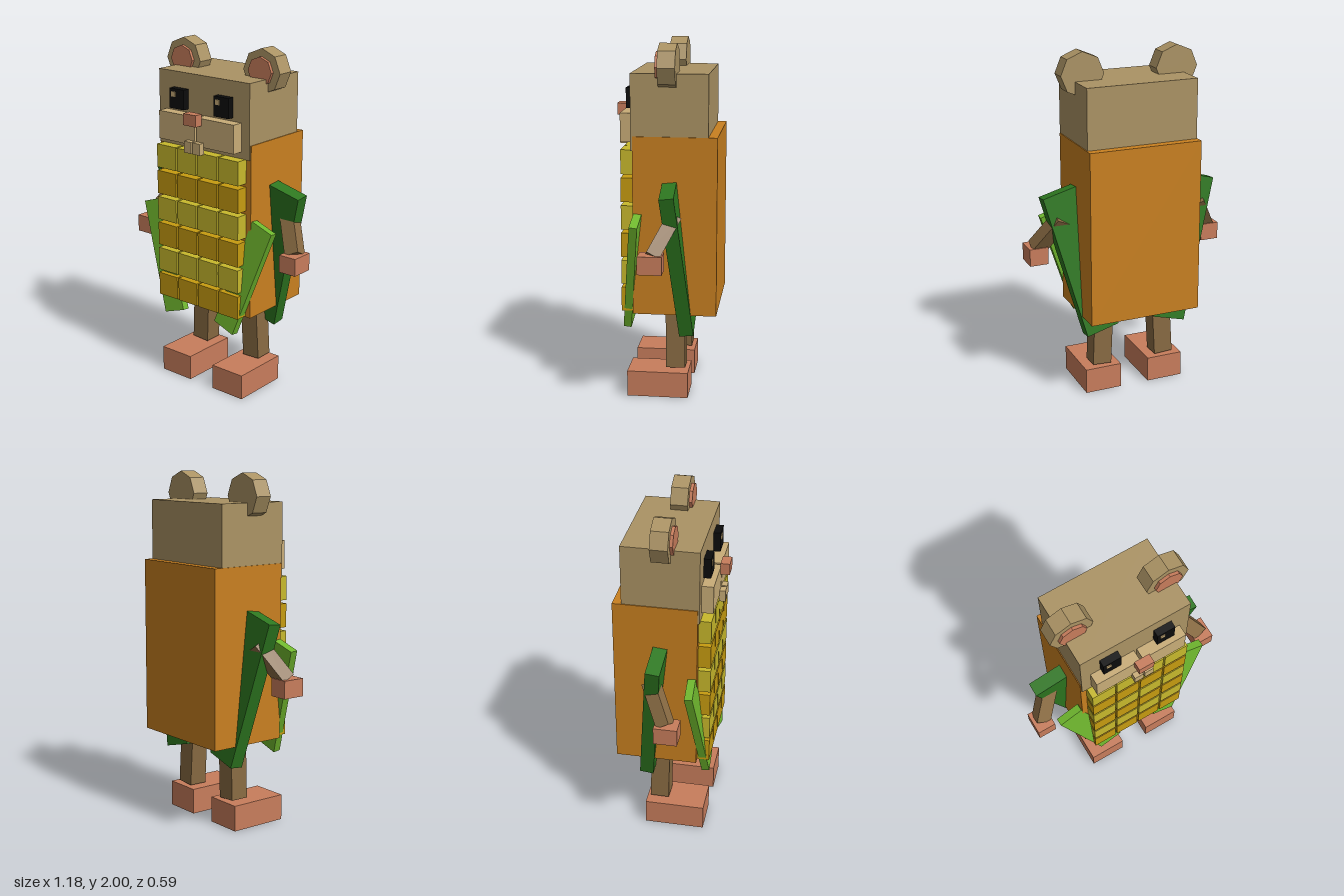
import * as THREE from 'three';

const mat = (name, color) => {
  const m = new THREE.MeshStandardMaterial({ color });
  m.name = name;
  return m;
};

export function createModel() {
  const fur = mat('fur', 0xab9364);
  const cream = mat('cream', 0xc9ad78);
  const cob = mat('cob', 0xc98020);
  const yellow = mat('yellow', 0xc8b92c);
  const gold = mat('gold', 0xc79c10);
  const pink = mat('pink', 0xc87d5c);
  const darkGreen = mat('darkGreen', 0x2e7820);
  const lightGreen = mat('lightGreen', 0x70b82e);
  const brown = mat('brown', 0x886a42);
  const black = mat('black', 0x0c0c0c);

  const model = new THREE.Group();
  model.name = 'cornHamster';

  const add = (name, geometry, material, x, y, z) => {
    const mesh = new THREE.Mesh(geometry, material);
    mesh.name = name;
    mesh.position.set(x, y, z);
    model.add(mesh);
    return mesh;
  };
  // box given by its centre, size and optional tilts
  const box = (name, material, [x, y, z], [w, h, d], tiltX = 0, tiltZ = 0) => {
    const mesh = add(name, new THREE.BoxGeometry(w, h, d), material, x, y, z);
    mesh.rotation.set(tiltX, 0, tiltZ);
    return mesh;
  };
  // octagonal disc facing the front, with a corner pointing up
  const disc = (name, material, x, y, z, radius, depth) => {
    const geometry = new THREE.CylinderGeometry(radius, radius, depth, 8).toNonIndexed();
    geometry.rotateX(Math.PI / 2);
    geometry.computeVertexNormals();
    return add(name, geometry, material, x, y, z);
  };

  // cob body and head
  box('body', cob, [0, 1, -0.0625], [0.66, 1, 0.465]);
  box('head', fur, [0, 1.63, -0.0325], [0.65, 0.42, 0.425]);
  box('nose', pink, [0, 1.613, 0.27], [0.09, 0.065, 0.052]);

  // kernels in alternating rows
  for (let row = 0; row < 6; row++) {
    for (let col = 0; col < 4; col++) {
      box('kernel', row % 2 ? yellow : gold,
        [(col - 1.5) * 0.151, 0.574 + row * 0.156, 0.203], [0.14, 0.136, 0.074]);
    }
  }

  for (const s of [1, -1]) {
    // face
    box('muzzle', cream, [s * 0.139, 1.54, 0.212], [0.262, 0.16, 0.066]);
    box('tooth', cream, [s * 0.031, 1.453, 0.26], [0.052, 0.065, 0.034]);
    box('eye', black, [s * 0.16, 1.695, 0.199], [0.105, 0.112, 0.042]);
    box('eyeGlint', cream, [s * 0.16 - 0.022, 1.72, 0.222], [0.028, 0.028, 0.006]);

    // ears
    disc('ear', fur, s * 0.28, 1.875, -0.023, 0.125, 0.097);
    disc('innerEar', pink, s * 0.28, 1.877, 0.032, 0.08, 0.022);

    // husk leaves
    box('backLeaf', darkGreen, [s * 0.317, 0.81, -0.08], [0.2, 0.862, 0.08], 0.105, s * -0.257);
    box('frontLeaf', lightGreen, [s * 0.295, 0.735, 0.178], [0.145, 0.668, 0.045], -0.107, s * -0.33);

    // limbs
    box('arm', brown, [s * 0.473, 0.985, -0.018], [0.085, 0.25, 0.078], -0.494, s * 0.5);
    box('hand', pink, [s * 0.536, 0.85, 0.042], [0.108, 0.1, 0.132]);
    box('leg', brown, [s * 0.189, 0.315, -0.058], [0.113, 0.312, 0.108], 0.015, s * 0.05);
    box('foot', pink, [s * 0.196, 0.074, 0.038], [0.218, 0.148, 0.346]);
  }

  return model;
}
